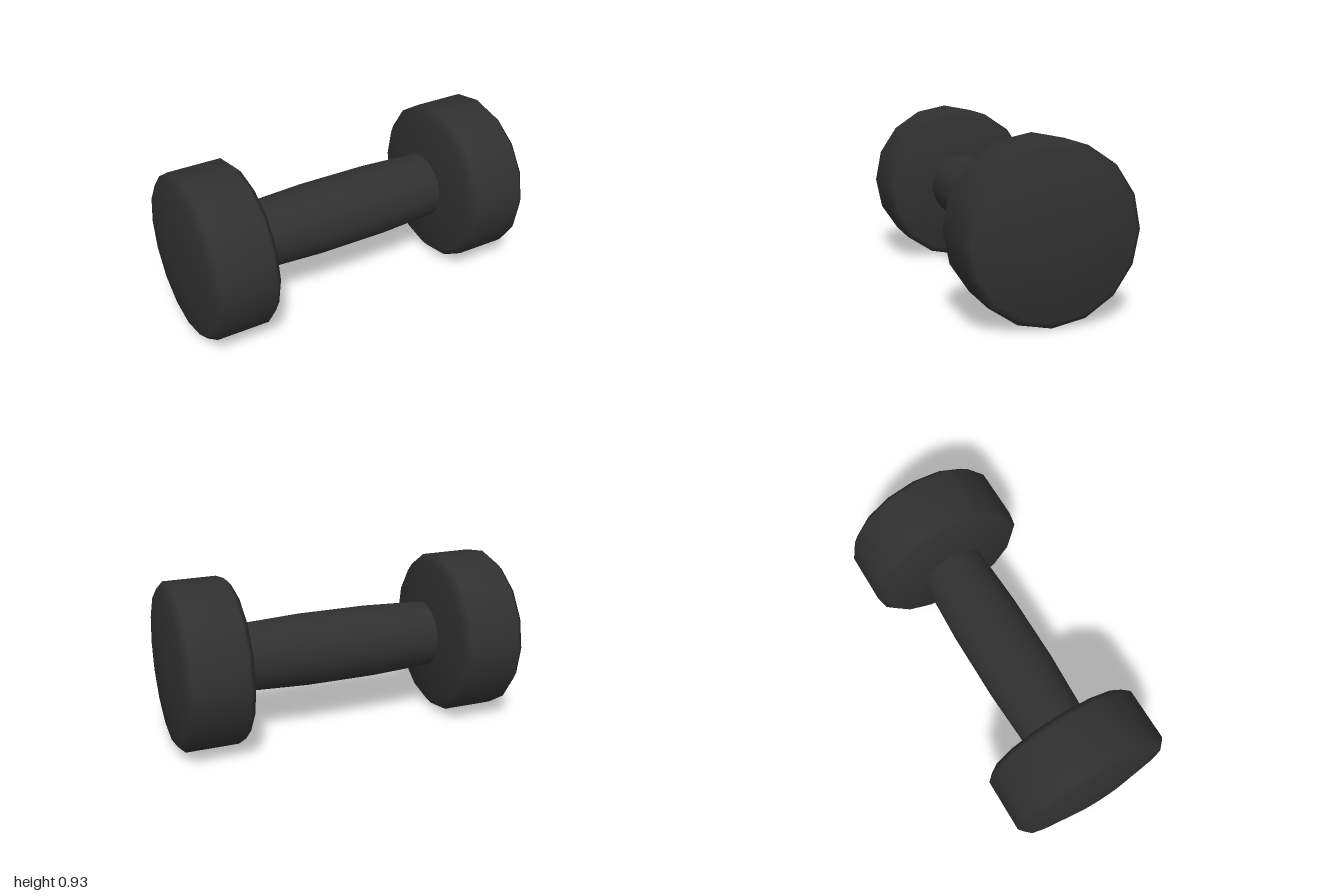
import * as THREE from 'three';

const black = new THREE.MeshStandardMaterial({ color: 0x303030 });
black.name = 'black rubber';

const CENTRE_Y = 0.463;

// Revolve [x, radius] pairs around the x axis
function revolve(name, profile, sides) {
  const points = profile.map(([x, r]) => new THREE.Vector2(r, x));
  const geometry = new THREE.LatheGeometry(points, sides);
  geometry.rotateZ(-Math.PI / 2);
  const mesh = new THREE.Mesh(geometry, black);
  mesh.name = name;
  mesh.position.y = CENTRE_Y;
  return mesh;
}

export function createModel() {
  const group = new THREE.Group();
  group.name = 'dumbbell';

  // Grip, slightly thicker in the middle
  group.add(revolve('handle', [
    [-0.58, 0.186], [-0.2, 0.203], [0.2, 0.203], [0.58, 0.186],
  ], 24));

  // Sixteen-sided weights with bevelled rims and shallow conical faces
  const headProfile = [
    [0.557, 0], [0.557, 0.187], [0.594, 0.425], [0.63, 0.463],
    [0.925, 0.463], [0.963, 0.425], [1, 0.187], [1, 0],
  ];
  for (const side of ['left', 'right']) {
    const head = revolve(side + 'Weight', headProfile, 16);
    if (side === 'right') head.rotation.y = Math.PI;
    group.add(head);
  }

  return group;
}
